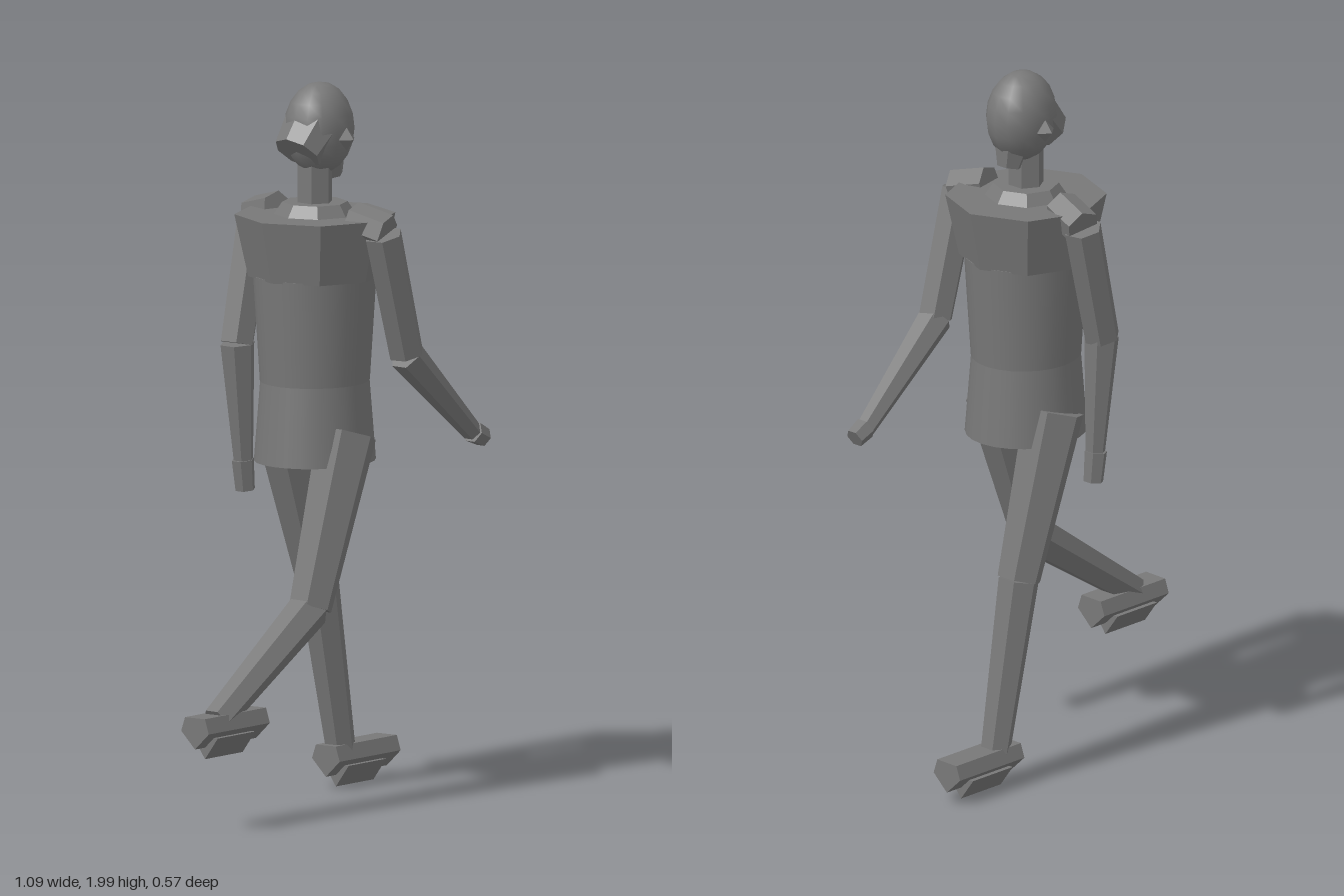
import * as THREE from 'three';

export function createModel() {
  const model = new THREE.Group();
  const grey = new THREE.MeshStandardMaterial({ color: 0x787878 });
  const CX = 0.09; // body axis

  const add = (name, geo, facet = true) => {
    let g = geo;
    if (facet) {
      g = geo.toNonIndexed();
      g.computeVertexNormals();
    }
    const mesh = new THREE.Mesh(g, grey);
    mesh.name = name;
    model.add(mesh);
    return mesh;
  };

  // Tapered prism from point a to point b
  const limb = (name, a, b, ra, rb, sides = 6) => {
    const A = new THREE.Vector3(...a), B = new THREE.Vector3(...b);
    const dir = B.clone().sub(A);
    const mesh = add(name, new THREE.CylinderGeometry(rb, ra, dir.length(), sides));
    mesh.position.copy(A).add(B).multiplyScalar(0.5);
    mesh.quaternion.setFromUnitVectors(new THREE.Vector3(0, 1, 0), dir.normalize());
    return mesh;
  };

  // Upright ring section of the body
  const section = (name, y0, y1, r0, r1, sides, depth, facet) => {
    const mesh = add(name, new THREE.CylinderGeometry(r1, r0, y1 - y0, sides), facet);
    mesh.position.set(CX, (y0 + y1) / 2, 0);
    mesh.scale.z = depth;
    return mesh;
  };

  // Torso
  section('hips', 0.955, 1.175, 0.174, 0.156, 24, 0.93, false);
  section('waist', 1.175, 1.47, 0.156, 0.175, 24, 0.94, false);
  section('chest', 1.465, 1.637, 0.183, 0.221, 8, 1, true);
  section('collar', 1.637, 1.67, 0.112, 0.09, 8, 1, true);
  section('neck', 1.66, 1.78, 0.05, 0.05, 6, 1, true);

  // Head
  const head = add('head', new THREE.SphereGeometry(1, 14, 10), false);
  head.position.set(0.108, 1.872, 0);
  head.scale.set(0.107, 0.128, 0.09);

  const back = limb('backOfHead', [0.09, 1.89, 0], [0.017, 1.813, 0], 0.078, 0.064, 8);
  back.scale.z = 1.1;
  limb('chin', [0.14, 1.81, 0], [0.157, 1.735, 0], 0.055, 0.034, 6);

  for (const s of [1, -1]) {
    const ear = add('ear', new THREE.OctahedronGeometry(0.032));
    ear.position.set(0.113, 1.85, s * 0.095);
    ear.scale.z = 0.8;
  }

  // Arms: one swings forward, the other hangs slightly back
  const arms = [
    { z: 1, elbow: [0.212, 1.255], wrist: [0.49, 1.005], tip: [0.532, 0.985] },
    { z: -1, elbow: [0.025, 1.26], wrist: [0.05, 0.935], tip: [0.06, 0.85] },
  ];
  for (const { z, elbow, wrist, tip } of arms) {
    limb('shoulder', [0.092, 1.633, z * 0.135], [0.115, 1.605, z * 0.24], 0.052, 0.052);
    limb('upperArm', [0.108, 1.6, z * 0.232], [...elbow, z * 0.226], 0.054, 0.05);
    limb('forearm', [...elbow, z * 0.224], [...wrist, z * 0.224], 0.049, 0.028);
    limb('hand', [...wrist, z * 0.226], [...tip, z * 0.226], 0.032, 0.028);
  }

  // Legs: one trails with the foot lifted, the other stands forward
  const legs = [
    { z: 0.116, hip: [0.09, 1.04], knee: [-0.063, 0.575], ankle: [-0.455, 0.31], foot: [-0.418, 0.285] },
    { z: -0.116, hip: [0.1, 1.04], knee: [0.24, 0.585], ankle: [0.335, 0.095], foot: [0.397, 0.08] },
  ];
  for (const { z, hip, knee, ankle, foot: [fx, fy] } of legs) {
    limb('thigh', [...hip, z], [...knee, z], 0.086, 0.062);
    limb('shin', [...knee, z], [...ankle, z], 0.058, 0.042);

    // Foot with a wedge sole
    const profile = [[-0.05, 0.005], [-0.036, 0.046], [0.036, 0.044], [0.05, 0.005], [0, -0.042]];
    const prism = (name, pts, x0, length, y) => {
      const shape = new THREE.Shape(pts.map(p => new THREE.Vector2(...p)));
      const geo = new THREE.ExtrudeGeometry(shape, { depth: length, bevelEnabled: false });
      const mesh = add(name, geo);
      mesh.rotation.y = Math.PI / 2;
      mesh.position.set(x0, y, z);
    };
    prism('foot', profile, fx - 0.127, 0.255, fy);
    prism('sole', [[-0.046, -0.012], [0.046, -0.012], [0, -0.074]], fx - 0.085, 0.157, fy);
  }

  // Rest the lowest sole on the ground
  model.children.forEach(m => { m.position.y -= 0.004; });
  return model;
}
